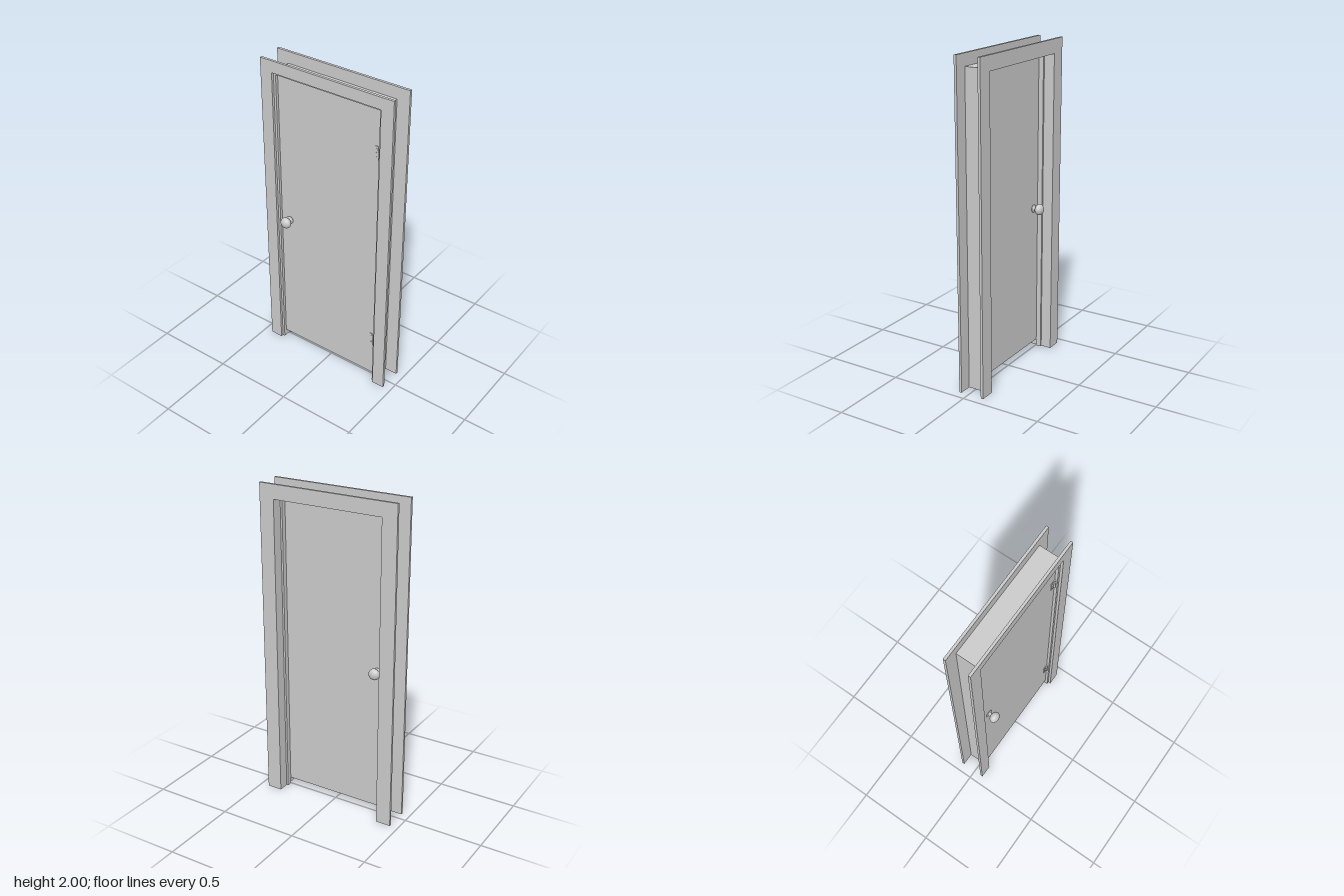
import * as THREE from 'three';

const material = new THREE.MeshStandardMaterial({ color: 0xcccccc });

export function createModel() {
  const door = new THREE.Group();
  door.name = 'doorWithFrame';

  const add = (parent, name, geometry, x = 0, y = 0, z = 0) => {
    const mesh = new THREE.Mesh(geometry, material);
    mesh.name = name;
    mesh.position.set(x, y, z);
    parent.add(mesh);
    return mesh;
  };

  // Three-sided frame, open at the floor, spanning z0 to z1
  const frame = (name, outer, top, inner, head, z0, z1) => {
    const shape = new THREE.Shape([
      [-outer, 0], [-inner, 0], [-inner, head], [inner, head],
      [inner, 0], [outer, 0], [outer, top], [-outer, top],
    ].map(([x, y]) => new THREE.Vector2(x, y)));
    const geometry = new THREE.ExtrudeGeometry(shape, { depth: z1 - z0, bevelEnabled: false });
    add(door, name, geometry, 0, 0, z0);
  };

  frame('frontTrim', 0.447, 2, 0.367, 1.927, 0.048, 0.064);
  frame('backTrim', 0.447, 2, 0.352, 1.912, -0.103, -0.087);
  frame('jamb', 0.367, 1.927, 0.352, 1.912, -0.087, 0.048);
  frame('doorStop', 0.352, 1.912, 0.34, 1.9, -0.036, -0.005);

  // Door leaf, raised above the floor
  const bottom = 0.045, top = 1.91, front = 0.031, back = -0.004;
  add(door, 'doorLeaf', new THREE.BoxGeometry(0.702, top - bottom, front - back),
    0, (top + bottom) / 2, (front + back) / 2);

  // Knob with rosette and neck on both faces
  const knobProfile = [
    [0, 0], [0.024, 0], [0.024, 0.004], [0.02, 0.007], [0.012, 0.008], [0.012, 0.022],
  ].map(([r, h]) => new THREE.Vector2(r, h));
  for (const [name, z, turn] of [['frontKnob', front, 1], ['backKnob', back, -1]]) {
    const knob = new THREE.Group();
    knob.name = name;
    knob.position.set(-0.29, 0.953, z);
    knob.rotation.x = turn * Math.PI / 2;
    add(knob, 'rosetteAndNeck', new THREE.LatheGeometry(knobProfile, 32));
    add(knob, 'knobHandle', new THREE.SphereGeometry(0.035, 32, 20).scale(1, 0.75, 1), 0, 0.043, 0);
    door.add(knob);
  }

  // Hinges with leaf, segmented knuckle and screws
  for (const [name, y] of [['upperHinge', 1.643], ['lowerHinge', 0.32]]) {
    const hinge = new THREE.Group();
    hinge.name = name;
    hinge.position.set(0.335, y, front);
    add(hinge, 'hingeLeaf', new THREE.BoxGeometry(0.034, 0.08, 0.003), -0.001, 0, 0.0015);
    for (let i = -1; i <= 1; i++) {
      add(hinge, 'hingeKnuckle', new THREE.CylinderGeometry(0.006, 0.006, 0.026, 16), 0.011, i * 0.027, 0.005);
      add(hinge, 'hingeScrew', new THREE.CylinderGeometry(0.003, 0.003, 0.002, 12).rotateX(Math.PI / 2),
        -0.008, i * 0.026, 0.0035);
    }
    door.add(hinge);
  }

  return door;
}
